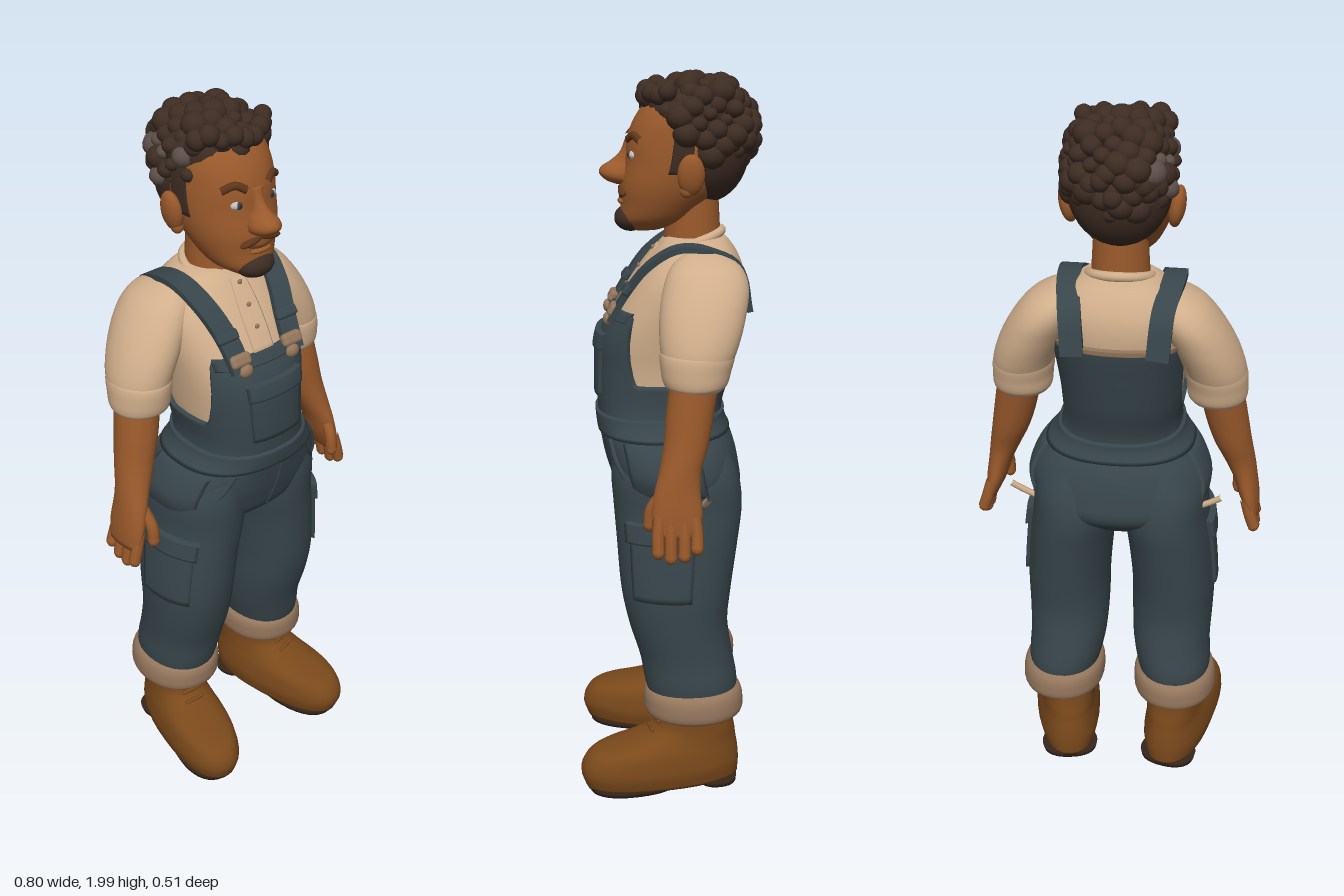
import * as THREE from 'three';
import { RoundedBoxGeometry } from 'three/addons/geometries/RoundedBoxGeometry.js';

const PI = Math.PI;
const mat = (name, color) => Object.assign(new THREE.MeshStandardMaterial({ color }), { name });

// Smooth body profile from rows [y, centreX, halfWidth, frontZ, backZ].
// Returns a surface point for angle a (0 = front, PI/2 = +x), height y and outward offset.
function profile(rows, e = 0.85) {
  const slope = (i, k) => {
    const p = rows[Math.max(i - 1, 0)], q = rows[Math.min(i + 1, rows.length - 1)];
    return (q[k] - p[k]) / (q[0] - p[0]);
  };
  const f = (a, y, off = 0) => {
    let i = 0;
    while (i < rows.length - 2 && y > rows[i + 1][0]) i++;
    const h = rows[i + 1][0] - rows[i][0], t = (y - rows[i][0]) / h, u = 1 - t;
    const [cx, rx, zf, zb] = [1, 2, 3, 4].map(k =>
      u * u * (1 + 2 * t) * rows[i][k] + t * t * (3 - 2 * t) * rows[i + 1][k] +
      h * t * u * (u * slope(i, k) - t * slope(i + 1, k)));
    const p = v => Math.sign(v) * Math.abs(v) ** e;
    return new THREE.Vector3(cx + (rx + off) * p(Math.sin(a)), y,
      (zf + zb) / 2 + ((zf - zb) / 2 + off) * p(Math.cos(a)));
  };
  f.y0 = rows[0][0];
  f.y1 = rows[rows.length - 1][0];
  return f;
}

function gridGeometry(nA, nY, point, wrap, caps) {
  const pos = [], idx = [], w = wrap ? nA : nA + 1;
  for (let j = 0; j <= nY; j++) for (let i = 0; i < w; i++) pos.push(...point(i, j).toArray());
  for (let j = 0; j < nY; j++) for (let i = 0; i < nA; i++) {
    const a = j * w + i, b = j * w + (i + 1) % w;
    idx.push(a, b, b + w, a, b + w, a + w);
  }
  if (caps) for (const j of [0, nY]) {
    const c = point(0, j).add(point(nA / 2, j)).multiplyScalar(0.5), n = pos.length / 3;
    pos.push(...c.toArray());
    for (let i = 0; i < nA; i++) {
      const a = j * w + i, b = j * w + (i + 1) % w;
      idx.push(n, ...(j ? [a, b] : [b, a]));
    }
  }
  const g = new THREE.BufferGeometry();
  g.setAttribute('position', new THREE.Float32BufferAttribute(pos, 3));
  g.setIndex(idx);
  g.computeVertexNormals();
  return g;
}

// Closed loft of a profile
const loft = (f, y0 = f.y0, y1 = f.y1, nA = 36, nY = 30) =>
  gridGeometry(nA, nY, (i, j) => f(i / nA * 2 * PI, y0 + (y1 - y0) * j / nY), true, true);

// Raised cloth panel lying on a profile, its rim turned in
function panel(f, a0, a1, yb, yt, off, nA = 18, nY = 14) {
  const full = a1 - a0 > 6.28, top = typeof yt === 'function' ? yt : () => yt;
  return gridGeometry(nA, nY, (i, j) => {
    const rim = j === 0 || j === nY || (!full && (i === 0 || i === nA));
    const s = full ? i / nA : THREE.MathUtils.clamp((i - 1) / (nA - 2), 0, 1);
    const t = THREE.MathUtils.clamp((j - 1) / (nY - 2), 0, 1), a = a0 + (a1 - a0) * s;
    return f(a, yb + (top(a) - yb) * t, rim ? -0.004 : off);
  }, full, false);
}

// Flat strap bent along a curve, its width running along x
function strapGeometry(points, width, thick) {
  const c = new THREE.CatmullRomCurve3(points.map(p => new THREE.Vector3(...p)));
  const g = new THREE.BoxGeometry(width, thick, 1, 1, 1, 28), p = g.attributes.position;
  for (let i = 0; i < p.count; i++) {
    const t = p.getZ(i) + 0.5, T = c.getPoint(t), d = c.getTangent(t);
    const W = new THREE.Vector3(1, 0, 0).addScaledVector(d, -d.x).normalize();
    T.addScaledVector(W, p.getX(i)).addScaledVector(d.clone().cross(W), p.getY(i));
    p.setXYZ(i, T.x, T.y, T.z);
  }
  g.computeVertexNormals();
  return g;
}

export function createModel() {
  const root = new THREE.Group();
  const skin = mat('skin', 0x99592b), hair = mat('dark hair', 0x3d2c22), grey = mat('grey hair', 0x5c4e48);
  const shirt = mat('cream shirt', 0xd0ae8b), denim = mat('denim', 0x38464b), tan = mat('tan lining', 0x94765c);
  const leather = mat('boot leather', 0x7a491b), sole = mat('dark sole', 0x35261c);
  const white = mat('eye white', 0xc8c0b8), stubble = mat('brown stubble', 0x5e361a);

  const add = (name, geo, m, parent = root) => {
    const mesh = new THREE.Mesh(geo, m);
    mesh.name = name;
    parent.add(mesh);
    return mesh;
  };
  const ball = (name, m, p, r, parent = root, n = 18) => {
    const b = add(name, new THREE.SphereGeometry(1, n, Math.ceil(n * 0.7)), m, parent);
    b.position.set(...p);
    b.scale.set(...r);
    return b;
  };
  const rod = (name, m, pts, r, parent = root) => add(name, new THREE.TubeGeometry(
    new THREE.CatmullRomCurve3(pts), 20, r, 8), m, parent);

  // Trunk: shirt body and overalls share one profile
  const trunk = profile([
    [0.8, -0.005, 0.09, 0.03, -0.12], [0.86, -0.005, 0.2, 0.125, -0.185], [0.93, -0.003, 0.237, 0.155, -0.184],
    [1.0, -0.001, 0.217, 0.17, -0.167], [1.08, -0.003, 0.158, 0.182, -0.135], [1.2, -0.012, 0.16, 0.185, -0.165],
    [1.3, -0.013, 0.173, 0.175, -0.188], [1.4, -0.013, 0.187, 0.125, -0.207], [1.47, -0.012, 0.184, 0.08, -0.205],
    [1.53, -0.01, 0.14, 0.035, -0.18], [1.565, -0.01, 0.085, 0.005, -0.15]]);
  add('shirtBody', loft(trunk, 1.0), shirt);
  const step = THREE.MathUtils.smoothstep;
  const bibTop = a => {
    const b = Math.abs(a);
    return b < 1.5 ? 1.37 - 0.19 * step(b, 0.8, 1.2) : 1.18 + 0.22 * step(b, 1.85, 2.2);
  };
  add('overallsBody', panel(trunk, -PI, PI, 0.8, bibTop, 0.012, 96, 40), denim);
  add('crotch', loft(trunk, 0.8, 0.9), denim);
  add('waistband', panel(trunk, -PI, PI, 1.035, 1.09, 0.02, 64, 8), denim);
  add('bibPocket', panel(trunk, -0.42, 0.42, 1.135, 1.3, 0.02), denim);
  add('bibPocketFlap', panel(trunk, -0.43, 0.43, 1.265, 1.31, 0.026), denim);
  add('bibHem', panel(trunk, -0.8, 0.8, 1.35, 1.375, 0.015), denim);
  add('backHem', panel(trunk, PI - 0.85, PI + 0.85, 1.388, 1.402, 0.016), tan);
  add('placket', panel(trunk, -0.13, 0.13, 1.37, 1.54, 0.004), shirt);
  for (const y of [1.43, 1.48, 1.53]) ball('shirtButton', tan, trunk(0, y, 0.006).toArray(), [0.007, 0.007, 0.005]);
  rod('flySeam', denim, [1.03, 0.97, 0.92, 0.88].map((y, i) => trunk(0.06 - i * 0.02, y, 0.01)), 0.005);
  const collar = add('collar', new THREE.TorusGeometry(0.082, 0.013, 10, 36), shirt);
  collar.position.set(-0.01, 1.552, -0.065);
  collar.rotation.x = PI / 2 + 0.3;
  const neck = add('neck', new THREE.CylinderGeometry(0.07, 0.08, 0.17, 28), skin);
  neck.position.set(-0.01, 1.59, -0.065);

  const straps = new THREE.Group();
  straps.name = 'straps';
  straps.position.x = -0.014;
  root.add(straps);

  for (const s of [1, -1]) {
    const side = (rows, e) => profile(rows.map(([y, x, ...r]) => [y, x * s - 0.007, ...r]), e);
    const span = (f, a0, a1, ...r) => panel(f, s > 0 ? a0 : -a1, s > 0 ? a1 : -a0, ...r);
    const v = (x, y, z) => new THREE.Vector3(x * s, y, z);

    // Straps and clasps
    add('strap', strapGeometry([[0.09, 1.35, 0.158], [0.1, 1.43, 0.11], [0.12, 1.5, 0.055], [0.137, 1.547, -0.02],
      [0.135, 1.543, -0.1], [0.12, 1.495, -0.186], [0.11, 1.38, -0.214]].map(p => [p[0] * s, p[1], p[2]]), 0.06, 0.016), denim, straps);
    const buckle = add('strapBuckle', new RoundedBoxGeometry(0.068, 0.03, 0.022, 2, 0.008), denim, straps);
    buckle.position.set(0.101 * s, 1.435, 0.112);
    buckle.rotation.x = -0.65;
    const clasp = add('strapClasp', new RoundedBoxGeometry(0.064, 0.036, 0.026, 3, 0.012), tan, straps);
    clasp.position.set(0.088 * s, 1.378, 0.15);
    clasp.rotation.x = -0.5;
    ball('claspButton', tan, [0.08 * s, 1.35, 0.164], [0.021, 0.019, 0.014], straps);

    // Sleeve with rolled cuff, sloping from the neck
    add('sleeve', loft(side([[1.225, 0.264, 0.07, 0.005, -0.135], [1.27, 0.263, 0.078, 0.022, -0.155],
      [1.32, 0.252, 0.084, 0.03, -0.175], [1.39, 0.222, 0.088, 0.03, -0.195], [1.46, 0.184, 0.085, 0.018, -0.204],
      [1.51, 0.155, 0.068, -0.005, -0.182], [1.54, 0.135, 0.03, -0.045, -0.13]], 1)), shirt);
    add('sleeveCuff', loft(side([[1.205, 0.264, 0.068, 0.005, -0.13], [1.22, 0.264, 0.079, 0.02, -0.145],
      [1.255, 0.263, 0.082, 0.028, -0.155], [1.3, 0.258, 0.082, 0.03, -0.165], [1.315, 0.255, 0.07, 0.02, -0.155]], 1)), shirt);

    // Arm and hand
    add('forearm', loft(side([[0.835, 0.374, 0.016, 0.05, -0.072], [0.89, 0.36, 0.028, 0.055, -0.078],
      [0.95, 0.346, 0.034, 0.048, -0.073], [1.0, 0.331, 0.042, 0.035, -0.075], [1.07, 0.309, 0.052, 0.022, -0.095],
      [1.15, 0.29, 0.058, 0.015, -0.11], [1.27, 0.268, 0.06, 0.0, -0.13]], 1)), skin);
    [0.035, 0.005, -0.027, -0.057].forEach((z, i) => {
      const tip = [0.8, 0.785, 0.79, 0.81][i];
      rod('finger', skin, [v(0.36, 0.89, z), v(0.374, 0.84, z * 1.1), v(0.384, tip, z * 1.1)], 0.017);
      ball('fingertip', skin, [0.384 * s, tip, z * 1.1], [0.017, 0.019, 0.017], root, 10);
    });
    rod('thumb', skin, [v(0.34, 0.95, 0.025), v(0.333, 0.9, 0.055), v(0.333, 0.86, 0.06)], 0.017);
    ball('thumbTip', skin, [0.333 * s, 0.86, 0.06], [0.017, 0.02, 0.017], root, 10);

    // Trouser leg, pockets and turn-up
    const leg = side([[0.27, 0.168, 0.095, 0.055, -0.18], [0.32, 0.164, 0.106, 0.07, -0.19], [0.4, 0.154, 0.112, 0.085, -0.177],
      [0.5, 0.153, 0.117, 0.115, -0.162], [0.6, 0.153, 0.119, 0.135, -0.17], [0.75, 0.14, 0.12, 0.147, -0.19],
      [0.84, 0.127, 0.122, 0.154, -0.2], [0.93, 0.125, 0.118, 0.16, -0.188], [1.02, 0.11, 0.09, 0.155, -0.15]], 0.95);
    add('trouserLeg', loft(leg), denim);
    add('cargoPocket', span(leg, 0.75, 1.8, 0.6, 0.79, 0.01), denim);
    add('cargoFlap', span(leg, 0.7, 1.85, 0.765, 0.82, 0.018), denim);
    add('hipPocket', span(trunk, 0.95, 1.95, 0.89, 1.03, 0.02), denim);
    rod('pocketSeam', denim, [[0.6, 1.03], [0.68, 0.97], [0.9, 0.92], [1.25, 0.9]].map(([a, y]) => trunk(a * s, y, 0.012)), 0.008);
    rod('pocketLining', shirt, [v(0.23, 0.875, -0.09), v(0.265, 0.895, -0.095), v(0.295, 0.915, -0.1)], 0.009);
    add('turnUp', loft(side([[0.222, 0.168, 0.1, 0.05, -0.18], [0.235, 0.168, 0.117, 0.07, -0.203], [0.27, 0.167, 0.121, 0.075, -0.207],
      [0.3, 0.165, 0.115, 0.07, -0.2], [0.315, 0.164, 0.1, 0.055, -0.185]], 0.95)), tan);

    // Boot, toes turned slightly out
    const boot = new THREE.Group();
    boot.name = 'boot';
    boot.position.set(0.167 * s - 0.013, 0, -0.05);
    boot.rotation.y = 0.19 * s;
    root.add(boot);
    add('bootUpper', loft(profile([[0.016, 0, 0.088, 0.297, -0.148], [0.06, 0, 0.098, 0.31, -0.15], [0.1, 0, 0.095, 0.297, -0.147],
      [0.125, 0, 0.09, 0.265, -0.143], [0.142, 0, 0.084, 0.2, -0.14], [0.165, 0, 0.079, 0.125, -0.137],
      [0.19, 0, 0.077, 0.092, -0.132], [0.26, 0, 0.077, 0.085, -0.125]])), leather, boot);
    for (const [name, y0, y1, zf, zb] of [['solePlate', 0.01, 0.022, 0.294, -0.145],
      ['foreSole', 0, 0.016, 0.286, 0.03], ['heel', 0, 0.016, -0.02, -0.142]])
      add(name, loft(profile([[y0, 0, 0.08, zf, zb], [y1, 0, 0.084, zf, zb]]), y0, y1, 36, 2), sole, boot);
    for (const [y, z] of [[0.175, 0.108], [0.2, 0.09], [0.22, 0.088]]) {
      const lace = add('lace', new THREE.CapsuleGeometry(0.006, 0.05, 4, 8), leather, boot);
      lace.position.set(0, y, z);
      lace.rotation.z = PI / 2 + 0.15;
    }
  }

  // Head
  const head = new THREE.Group();
  head.name = 'head';
  head.position.x = -0.012;
  root.add(head);
  const skull = profile([[1.58, 0, 0.035, 0.11, 0.02], [1.605, 0, 0.075, 0.128, -0.05], [1.65, 0, 0.103, 0.126, -0.1],
    [1.7, 0, 0.122, 0.127, -0.15], [1.76, 0, 0.131, 0.115, -0.18], [1.82, 0, 0.13, 0.109, -0.195],
    [1.88, 0, 0.12, 0.085, -0.18], [1.93, 0, 0.09, 0.04, -0.15], [1.955, 0, 0.04, -0.02, -0.1]], 0.95);
  add('face', loft(skull), skin, head);
  add('nose', loft(profile([[1.7, 0, 0.015, 0.14, 0.08], [1.71, 0, 0.034, 0.165, 0.08], [1.728, 0, 0.04, 0.183, 0.08],
    [1.746, 0, 0.033, 0.178, 0.08], [1.762, 0, 0.022, 0.153, 0.08], [1.785, 0, 0.018, 0.128, 0.08],
    [1.82, 0, 0.022, 0.113, 0.08]], 1)), skin, head);
  ball('goatee', hair, [0, 1.61, 0.1], [0.055, 0.036, 0.045], head);
  ball('lowerLip', skin, [0, 1.656, 0.122], [0.034, 0.009, 0.013], head);
  rod('mouth', stubble, [-0.4, -0.2, 0, 0.2, 0.4].map(a => skull(a, 1.667 + a * a * 0.07, 0.001)), 0.004, head);
  for (const s of [1, -1]) {
    ball('moustache', stubble, [0.028 * s, 1.686, 0.121], [0.038, 0.01, 0.013], head).rotation.z = -0.2 * s;
    add('sideburn', panel(skull, s > 0 ? 1.38 : -1.7, s > 0 ? 1.7 : -1.38, 1.74, 1.88, 0.004), hair, head);
    ball('eye', white, [0.053 * s, 1.782, 0.093], [0.02, 0.013, 0.012], head);
    ball('iris', denim, [0.052 * s, 1.782, 0.1], [0.0105, 0.011, 0.007], head);
    ball('pupil', sole, [0.052 * s, 1.782, 0.105], [0.005, 0.005, 0.004], head);
    rod('eyebrow', stubble, [0.24, 0.45, 0.72].map((a, i) => skull(a * s, [1.82, 1.833, 1.82][i], 0)), 0.011, head);
    ball('ear', skin, [0.14 * s, 1.74, -0.055], [0.022, 0.055, 0.036], head).rotation.z = -0.15 * s;
    ball('earlobe', skin, [0.133 * s, 1.7, -0.045], [0.015, 0.02, 0.02], head);
  }

  // Curly hair: a cap covered with seeded curls of mixed size
  ball('hairCap', hair, [0, 1.8, -0.1], [0.133, 0.15, 0.118], head, 28);
  ball('hairCrown', hair, [0, 1.885, -0.06], [0.133, 0.08, 0.125], head, 28);
  let seed = 7;
  const rnd = () => (seed = (seed * 16807) % 2147483647) / 2147483647;
  const count = 130;
  for (let i = 0; i < count; i++) {
    const h = 1 - 2 * (i + 0.5) / count, q = Math.sqrt(1 - h * h) ** 0.85, a = i * 2.39996;
    const k = 0.93 + 0.1 * rnd(), r = 0.018 + 0.022 * rnd();
    const x = 0.13 * k * q * Math.sin(a), y = 1.845 + 0.125 * k * h, z = -0.08 + 0.14 * k * q * Math.cos(a);
    if (y < (z > -0.01 ? 1.895 : z > -0.08 ? 1.835 : 1.73)) continue;
    const m = x < -0.08 && y < 1.93 && z < -0.03 && rnd() < 0.4 ? grey : hair;
    ball('curl', m, [x, y, z], [r, r * 0.9, r], head, 12);
  }
  // Loose curls over the forehead and the back
  for (let i = 0; i < 9; i++) {
    const a = -1 + i * 0.25, r = 0.02 + 0.008 * rnd();
    ball('frontCurl', hair, [0.125 * Math.sin(a), 1.925 + 0.025 * rnd(), -0.06 + 0.12 * Math.cos(a)], [r, r, r], head, 12);
    ball('backCurl', hair, [0.12 * Math.sin(a), 1.8 + 0.06 * rnd(), -0.09 - 0.135 * Math.cos(a)], [r, r, r], head, 12);
  }
  return root;
}
